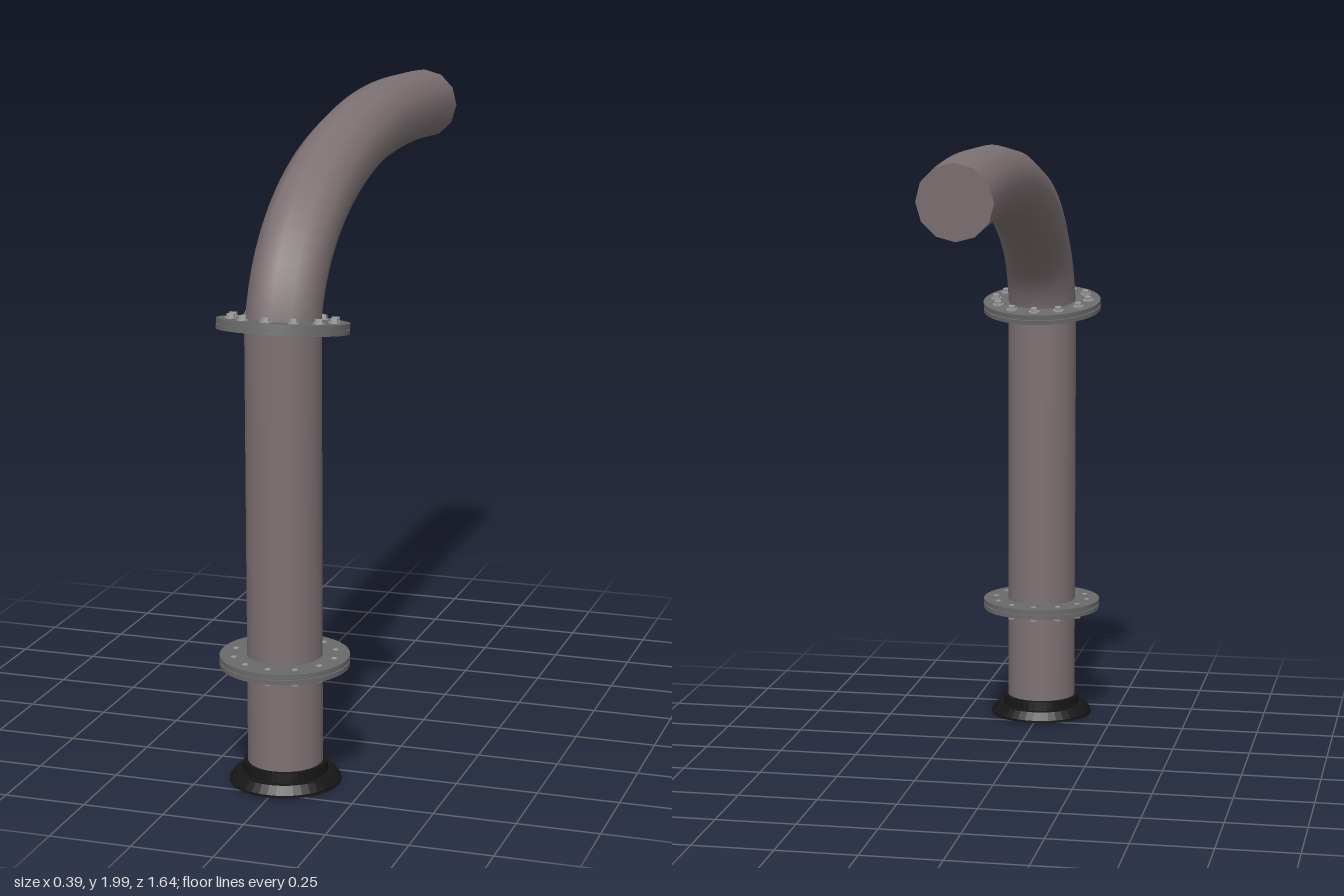
import * as THREE from 'three';

const PIPE_R = 0.113, PIPE_Z = 0.625;
const paint = (color) => new THREE.MeshStandardMaterial({ color });
const pipeMat = paint(0x7d7173);
const flangeMat = paint(0x6a6a6a);
const boltMat = paint(0x9a9a9a);
const rubberMat = paint(0x161616);

function add(parent, name, geometry, material, x = 0, y = 0, z = 0) {
  const mesh = new THREE.Mesh(geometry, material);
  mesh.name = name;
  mesh.position.set(x, y, z);
  parent.add(mesh);
  return mesh;
}

// Two mating discs with a thin seam, and a ring of bolts standing on +y
function flange(name) {
  const group = new THREE.Group();
  group.name = name;
  const disc = new THREE.CylinderGeometry(0.195, 0.195, 0.014, 48);
  add(group, 'upperDisc', disc, flangeMat, 0, 0.009, 0);
  add(group, 'lowerDisc', disc, flangeMat, 0, -0.009, 0);
  add(group, 'gasket', new THREE.CylinderGeometry(0.188, 0.188, 0.008, 48), flangeMat);

  const washer = new THREE.CylinderGeometry(0.018, 0.018, 0.004, 16);
  const head = new THREE.CylinderGeometry(0.012, 0.013, 0.012, 6).toNonIndexed();
  head.computeVertexNormals();
  const shank = new THREE.CylinderGeometry(0.009, 0.009, 0.038, 10);
  for (let i = 0; i < 12; i++) {
    const a = (i / 12) * Math.PI * 2;
    const x = Math.cos(a) * 0.155, z = Math.sin(a) * 0.155;
    add(group, 'washer', washer, boltMat, x, 0.018, z);
    add(group, 'boltHead', head, boltMat, x, 0.025, z);
    add(group, 'boltShank', shank, boltMat, x, 0.001, z);
  }
  return group;
}

export function createModel() {
  const model = new THREE.Group();
  model.name = 'bentPipe';

  // Upright pipe
  add(model, 'column', new THREE.CylinderGeometry(PIPE_R, PIPE_R, 1.395, 32), pipeMat, 0, 0.7025, PIPE_Z);

  // Bent upper pipe with its closed end
  const path = new THREE.CubicBezierCurve3(
    new THREE.Vector3(0, 1.4, PIPE_Z),
    new THREE.Vector3(0, 1.72, 0.57),
    new THREE.Vector3(0, 1.955, 0.09),
    new THREE.Vector3(0, 1.867, -0.81)
  );
  add(model, 'elbow', new THREE.TubeGeometry(path, 32, PIPE_R, 12), pipeMat);
  const end = path.getPoint(1);
  const cap = add(model, 'elbowEndCap', new THREE.CircleGeometry(PIPE_R, 12), pipeMat, end.x, end.y, end.z);
  cap.lookAt(end.clone().add(path.getTangent(1)));

  // Lower flange has its bolts underneath, upper one leans with the bend
  const lower = flange('lowerFlange');
  lower.position.set(0, 0.389, PIPE_Z);
  lower.rotation.x = Math.PI;
  const upper = flange('upperFlange');
  upper.position.set(0, 1.405, PIPE_Z);
  upper.rotation.x = -0.15;
  model.add(lower, upper);

  // Flared foot with a collar; repeated points keep the steps crisp
  const profile = [
    [0.11, 0.01], [0.168, 0.01], [0.168, 0.01], [0.168, 0.018], [0.168, 0.018],
    [0.148, 0.042], [0.148, 0.042], [0.128, 0.042], [0.128, 0.042],
    [0.125, 0.072], [0.125, 0.072], [0.11, 0.072]
  ].map(([r, y]) => new THREE.Vector2(r, y));
  const footGeometry = new THREE.LatheGeometry(profile, 40).toNonIndexed();
  footGeometry.computeVertexNormals();
  add(model, 'footCollar', footGeometry, rubberMat, 0, 0, PIPE_Z);

  // Stand exactly on the ground
  model.children.forEach((part) => { part.position.y -= 0.005; });
  return model;
}
